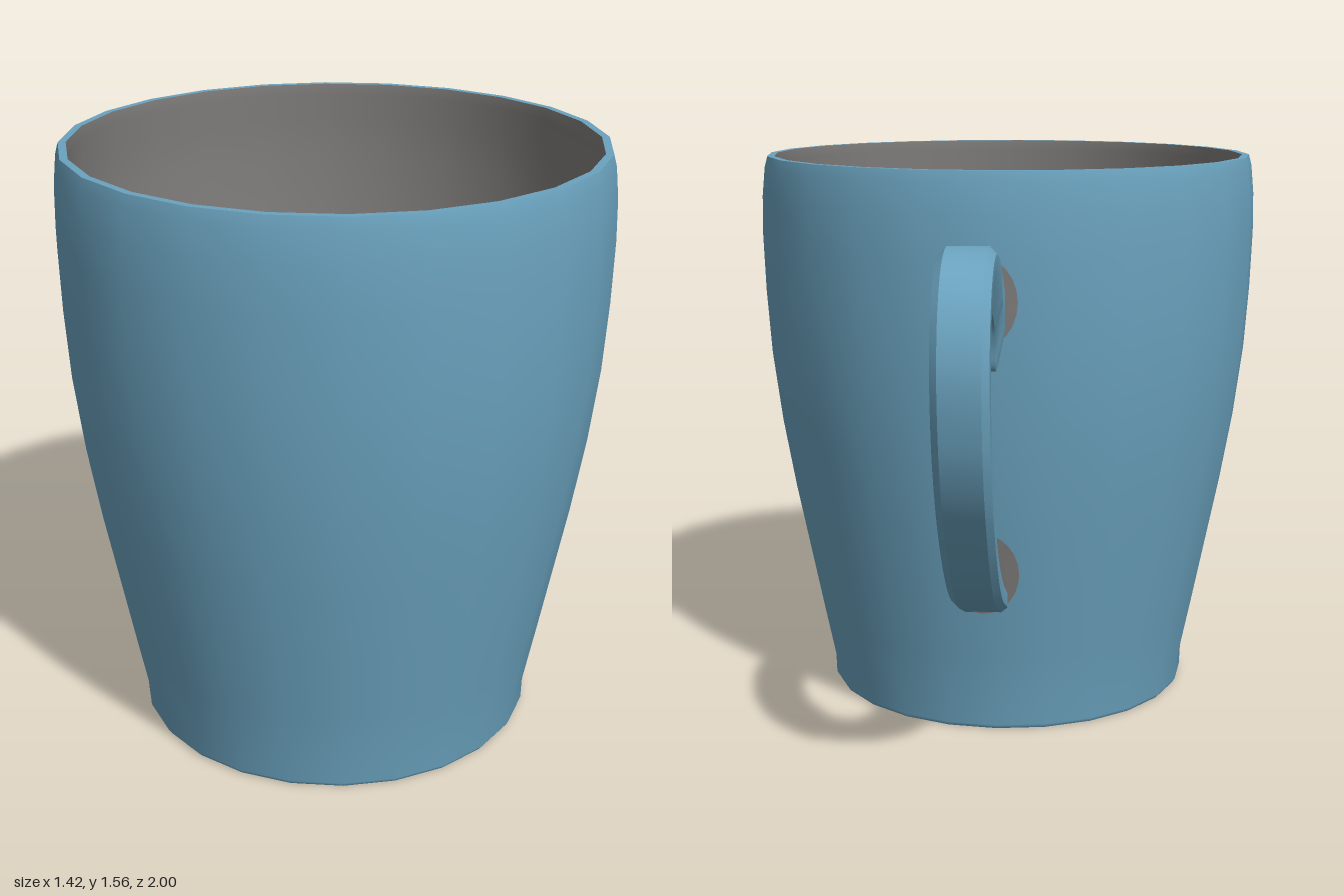
import * as THREE from 'three';
import { toCreasedNormals } from 'three/addons/utils/BufferGeometryUtils.js';

const SIDES = 24;
const CENTER_Z = 0.29;   // axis of the cup
const HANDLE_X = 0.033;  // middle of the handle

// Outer wall as [radius, height]
const wall = [
  [0.52, 0], [0.528, 0.012], [0.53, 0.07], [0.56, 0.22], [0.595, 0.4], [0.634, 0.6], [0.668, 0.8],
  [0.693, 1.0], [0.705, 1.18], [0.71, 1.34], [0.708, 1.45], [0.7, 1.53], [0.692, 1.56],
];

// Handle side rails as matching [z, y] pairs, from the upper root to the lower root
const outerRail = [
  [-0.39, 1.27], [-0.44, 1.305], [-0.53, 1.35], [-0.58, 1.373], [-0.65, 1.396], [-0.758, 1.41],
  [-0.876, 1.377], [-0.957, 1.297], [-0.998, 1.16], [-0.972, 0.98], [-0.92, 0.855], [-0.85, 0.75],
  [-0.715, 0.6], [-0.555, 0.475], [-0.285, 0.36],
];
const innerRail = [
  [-0.39, 1.05], [-0.437, 1.06], [-0.458, 1.125], [-0.49, 1.185], [-0.61, 1.243], [-0.74, 1.289],
  [-0.82, 1.28], [-0.868, 1.235], [-0.883, 1.14], [-0.872, 1.01], [-0.81, 0.895], [-0.726, 0.76],
  [-0.61, 0.64], [-0.447, 0.546], [-0.305, 0.465],
];

// Cross-section as [x offset, 0 = inner rail .. 1 = outer rail]
const section = [
  [-0.05, 1], [0.05, 1], [0.0675, 0.85], [0.0675, 0.45],
  [0.045, 0], [-0.045, 0], [-0.0675, 0.45], [-0.0675, 0.85],
];

function lathe(points) {
  const geo = new THREE.LatheGeometry(points.map(([r, y]) => new THREE.Vector2(r, y)), SIDES);
  return geo.translate(0, 0, CENTER_Z);
}

function wallRadius(y) {
  const i = Math.max(1, wall.findIndex((p) => p[1] >= y));
  const [r0, y0] = wall[i - 1], [r1, y1] = wall[i];
  return r0 + (r1 - r0) * (y - y0) / (y1 - y0);
}

// Handle swept between the two rails; group 0 is painted, group 1 bare
function handleGeometry() {
  const toCurve = (rail) => new THREE.CatmullRomCurve3(rail.map(([z, y]) => new THREE.Vector3(0, y, z)));
  const outer = toCurve(outerRail), inner = toCurve(innerRail);
  const steps = 56, n = section.length;
  const positions = [], painted = [], bare = [];
  for (let i = 0; i <= steps; i++) {
    const o = outer.getPoint(i / steps), p = inner.getPoint(i / steps);
    for (const [x, s] of section) {
      const v = p.clone().lerp(o, s);
      positions.push(HANDLE_X + x, v.y, v.z);
    }
    if (i === steps) break;
    for (let j = 0; j < n; j++) {
      const a = i * n + j, b = i * n + (j + 1) % n, c = a + n, d = b + n;
      const bareTop = i < 11 && j === 0;                  // top of the upper root
      const bareInside = i >= 35 && j >= 3 && j <= 5;     // inside of the lower sweep
      (bareTop || bareInside ? bare : painted).push(a, b, c, b, d, c);
    }
  }
  const geo = new THREE.BufferGeometry();
  geo.setAttribute('position', new THREE.Float32BufferAttribute(positions, 3));
  geo.setIndex([...painted, ...bare]);
  geo.addGroup(0, painted.length, 0);
  geo.addGroup(painted.length, bare.length, 1);
  return toCreasedNormals(geo, 0.6);
}

// Thin oval patch wrapped onto the back of the cup
function patchGeometry(centerY, halfWidth, halfHeight) {
  const geo = new THREE.RingGeometry(0.001, 1, 24, 4);
  geo.scale(halfWidth, halfHeight, 1).rotateY(Math.PI);
  const pos = geo.attributes.position;
  for (let i = 0; i < pos.count; i++) {
    const x = pos.getX(i) + HANDLE_X, y = pos.getY(i) + centerY;
    const r = wallRadius(y) + 0.003;
    pos.setXYZ(i, x, y, CENTER_Z - Math.sqrt(r * r - x * x));
  }
  geo.computeVertexNormals();
  return geo;
}

export function createModel() {
  const group = new THREE.Group();
  const blue = new THREE.MeshStandardMaterial({ color: 0x6ba3bf });
  blue.name = 'blueGlaze';
  const grey = new THREE.MeshStandardMaterial({ color: 0x807e7c });
  grey.name = 'bareGrey';

  const add = (name, geometry, material) => {
    const mesh = new THREE.Mesh(geometry, material);
    mesh.name = name;
    group.add(mesh);
  };

  // Cup
  add('outerWall', lathe(wall), blue);
  add('base', lathe([[0, 0], [0.52, 0]]), blue);
  add('rim', lathe([[0.692, 1.56], [0.672, 1.56]]), blue);
  const inside = wall.slice(3, -1).reverse().map(([r, y]) => [r - 0.03, y]);
  add('innerWall', lathe([[0.672, 1.56], ...inside, [0.508, 0.1], [0.49, 0.07]]), grey);
  add('innerFloor', lathe([[0.49, 0.07], [0, 0.06]]), grey);

  // Handle and its root patches
  add('handle', handleGeometry(), [blue, grey]);
  add('upperRootPatch', patchGeometry(1.23, 0.1, 0.12), grey);
  add('lowerRootPatch', patchGeometry(0.48, 0.1, 0.12), grey);
  return group;
}
